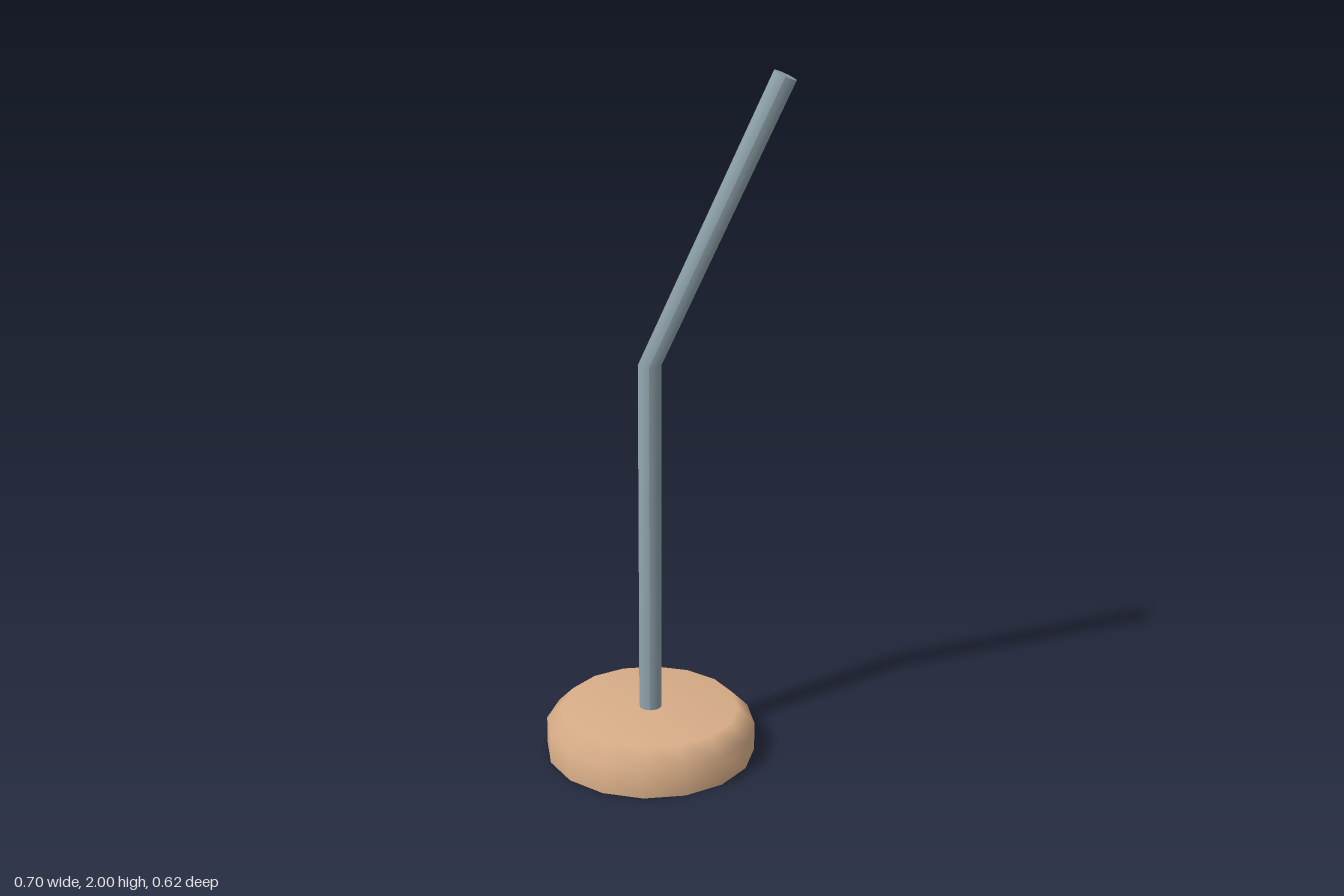
import * as THREE from 'three';

const material = (name, color, side = THREE.FrontSide) => {
  const m = new THREE.MeshStandardMaterial({ color, side });
  m.name = name;
  return m;
};

const SIDES = 16;
const BASE_R = 0.309;
const AXIS_X = -0.043; // the base and upright sit left of the model's centre

export function createModel() {
  const group = new THREE.Group();
  const wood = material('tan', 0xd8ad87);
  const steel = material('blueGrey', 0x8fa3ab);
  const dark = material('charcoal', 0x2d2833);
  const plum = material('dullPurple', 0x5b5266);

  const add = (name, geometry, mat) => {
    const mesh = new THREE.Mesh(geometry, mat);
    mesh.name = name;
    group.add(mesh);
    return mesh;
  };

  // Round base with a chamfered rim and a flat top
  const profile = [[BASE_R, 0], [BASE_R, 0.085], [0.26, 0.135], [0, 0.135]]
    .map(([r, y]) => new THREE.Vector2(r, y));
  add('base', new THREE.LatheGeometry(profile, SIDES), wood).position.x = AXIS_X;

  // Underside, divided into patches between corners of the rim
  const rim = (i) => {
    const a = (i / SIDES) * Math.PI * 2;
    return new THREE.Vector2(BASE_R * Math.cos(a), BASE_R * Math.sin(a));
  };
  const underside = (name, from, to, extra, mat) => {
    const points = [];
    for (let i = from; i <= to; i++) points.push(rim(i));
    if (extra) points.push(extra);
    const geometry = new THREE.ShapeGeometry(new THREE.Shape(points));
    geometry.rotateX(Math.PI / 2);
    add(name, geometry, mat).position.x = AXIS_X;
  };
  const centre = new THREE.Vector2(0, 0);
  underside('undersideGreyPatch', 12, 16, centre, steel);
  underside('undersideTanPatch', 8, 12, centre, wood);
  underside('undersideDarkPatch', 0, 3, rim(8), dark);
  underside('undersidePurplePatch', 3, 8, null, plum);

  // Bent pole: a cylinder whose rings are moved to the foot, the bend and the tip
  const pole = new THREE.CylinderGeometry(0.033, 0.033, 2, SIDES, 2);
  const rings = [
    { x: AXIS_X, y: 0.1, tilt: 0 },
    { x: AXIS_X, y: 1.185, tilt: 0 },
    { x: 0.317, y: 1.986, tilt: Math.atan2(0.36, 0.8) },
  ];
  const p = pole.attributes.position;
  for (let i = 0; i < p.count; i++) {
    const ring = rings[Math.round(p.getY(i)) + 1];
    const x = p.getX(i);
    p.setXY(i, ring.x + x * Math.cos(ring.tilt), ring.y - x * Math.sin(ring.tilt));
  }
  pole.computeVertexNormals();
  add('bentPole', pole, steel);

  return group;
}
